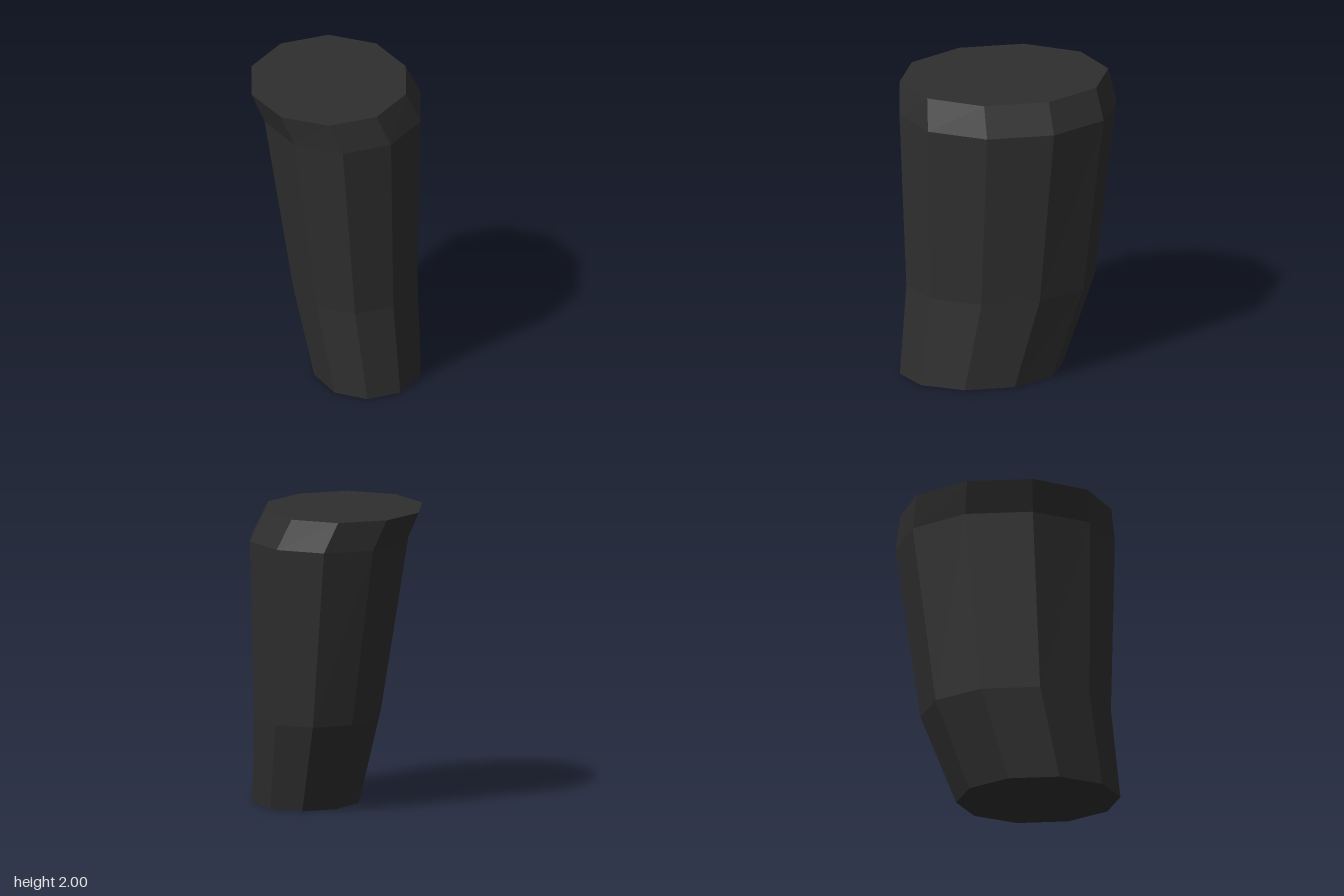
import * as THREE from 'three';

// Elliptical ten-sided cross-sections, from top to bottom
const RINGS = [
  { y: 2.0, cx: -0.053, cz: 0.0, rx: 0.541, rz: 0.705 },
  { y: 1.8, cx: 0.04, cz: -0.012, rx: 0.547, rz: 0.733 },
  { y: 0.6, cx: 0.122, cz: 0.051, rx: 0.434, rz: 0.637 },
  { y: 0.0, cx: 0.204, cz: 0.196, rx: 0.372, rz: 0.549 },
];

export function createModel() {
  const charcoal = new THREE.MeshStandardMaterial({ color: 0x2e2e2e, flatShading: true });
  charcoal.name = 'charcoal';

  // Unit cylinder whose rows are moved onto the cross-sections, caps included
  const spans = RINGS.length - 1;
  const geometry = new THREE.CylinderGeometry(1, 1, spans, 10, spans);
  const pos = geometry.attributes.position;
  for (let i = 0; i < pos.count; i++) {
    const r = RINGS[Math.round(spans / 2 - pos.getY(i))];
    pos.setXYZ(i, r.cx + r.rx * pos.getX(i), r.y, r.cz + r.rz * pos.getZ(i));
  }
  geometry.computeVertexNormals();

  const body = new THREE.Mesh(geometry, charcoal);
  body.name = 'curvedGripBody';

  const group = new THREE.Group();
  group.name = 'curvedGrip';
  group.add(body);
  return group;
}
